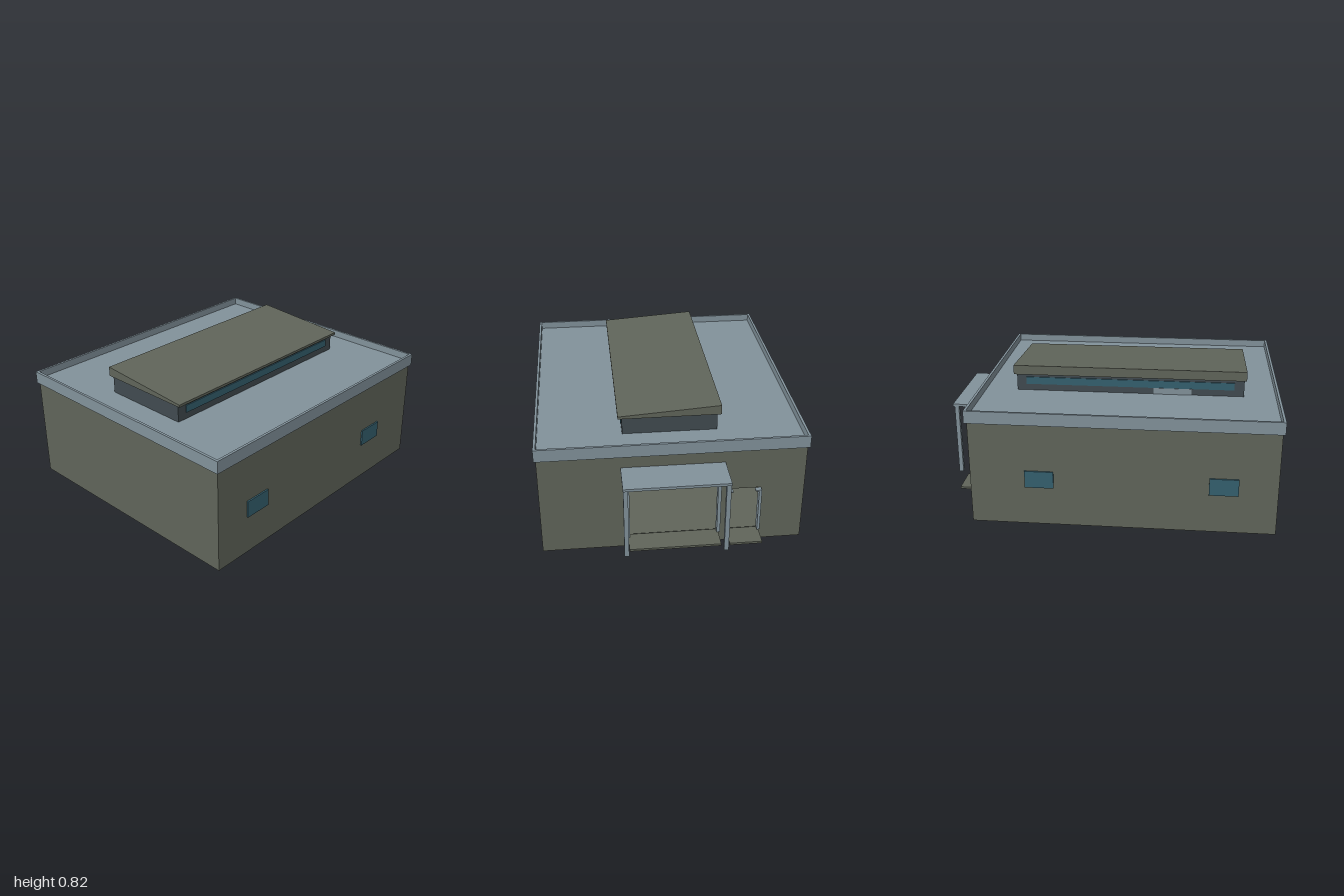
import * as THREE from 'three';

const mat = (name, color) => {
  const m = new THREE.MeshStandardMaterial({ color });
  m.name = name;
  return m;
};

export function createModel() {
  const olive = mat('olive wall', 0x60655a);
  const grey = mat('blue grey trim', 0x82929b);
  const slate = mat('dark slate', 0x414b50);
  const glass = mat('window blue', 0x35606f);
  const teal = mat('canopy teal', 0x26929a);
  const model = new THREE.Group();

  const add = (name, geometry, material) => {
    const mesh = new THREE.Mesh(geometry, material);
    mesh.name = name;
    model.add(mesh);
    return mesh;
  };
  // Box given by its limits on each axis
  const box = (name, material, x0, x1, y0, y1, z0, z1) => {
    const g = new THREE.BoxGeometry(x1 - x0, y1 - y0, z1 - z0);
    g.translate((x0 + x1) / 2, (y0 + y1) / 2, (z0 + z1) / 2);
    return add(name, g, material);
  };
  // Outline of [z, y] points, extruded along x
  const outline = (points, Type) => new Type(points.map(([z, y]) => new THREE.Vector2(-z, y)));
  const extrudeX = (name, material, shape, x0, x1) => {
    const g = new THREE.ExtrudeGeometry(shape, { depth: x1 - x0, bevelEnabled: false });
    g.rotateY(Math.PI / 2).translate(x0, 0, 0);
    return add(name, g, material);
  };
  const rect = (z0, z1, y0, y1) => [[z0, y0], [z1, y0], [z1, y1], [z0, y1]];

  // Hollow building: floor, three plain walls and an entrance wall with two openings
  const doors = [
    { name: 'main', z0: -0.255, z1: 0.255, top: 0.515, jamb: 0.02 },
    { name: 'side', z0: -0.495, z1: -0.325, top: 0.365, jamb: 0.016 },
  ];
  const t = 0.012;
  box('floor', olive, -0.988, 0.783, 0, 0.075, -0.766, 0.766);
  box('frontWall', olive, -0.988, 0.783, 0.075, 0.63, 0.766 - t, 0.766);
  box('backWall', olive, -0.988, 0.783, 0.075, 0.63, -0.766, -0.766 + t);
  box('leftEndWall', olive, -0.988, -0.988 + t, 0.075, 0.63, -0.766 + t, 0.766 - t);
  const wall = outline(rect(-0.766 + t, 0.766 - t, 0.075, 0.63), THREE.Shape);
  for (const d of doors) wall.holes.push(outline(rect(d.z0, d.z1, 0.085, d.top), THREE.Path));
  extrudeX('entranceWall', olive, wall, 0.783 - t, 0.783);

  // Flat roof with a raised rim
  box('roofDeck', grey, -0.99, 0.785, 0.626, 0.655, -0.768, 0.768);
  for (const s of [-1, 1]) {
    const a = s * 0.777, b = s * 0.762;
    box('parapetLong', grey, -1, 0.797, 0.625, 0.7, Math.min(a, b), Math.max(a, b));
  }
  box('parapetEnd', grey, -1, -0.985, 0.625, 0.7, -0.762, 0.762);
  box('parapetEnd', grey, 0.782, 0.797, 0.625, 0.7, -0.762, 0.762);

  // Small windows on the front and back walls
  for (const [x0, x1] of [[-0.765, -0.597], [0.294, 0.462]]) {
    box('frontWindow', glass, x0, x1, 0.237, 0.34, 0.766, 0.775);
    box('backWindow', glass, x0, x1, 0.237, 0.34, -0.775, -0.766);
  }

  // Roof lantern with window bands and a sloping lid
  box('lanternWalls', slate, -0.794, 0.588, 0.65, 0.762, -0.276, 0.276);
  box('lanternFrontWindow', glass, -0.735, 0.53, 0.695, 0.74, 0.276, 0.282);
  box('lanternBackWindow', glass, -0.735, 0.53, 0.695, 0.74, -0.282, -0.276);
  box('lanternBackPanel', grey, -0.48, -0.25, 0.655, 0.693, -0.279, -0.276);
  const lid = outline([[0.3, 0.76], [0.3, 0.775], [-0.297, 0.817], [-0.297, 0.76]], THREE.Shape);
  extrudeX('lanternRoof', olive, lid, -0.806, 0.604);

  // Door frames and steps
  for (const d of doors) {
    box(d.name + 'Jamb', grey, 0.775, 0.815, 0.085, d.top, d.z0 - d.jamb, d.z0);
    box(d.name + 'Jamb', grey, 0.775, 0.815, 0.085, d.top, d.z1, d.z1 + d.jamb);
    box(d.name + 'Hook', grey, 0.785, 0.815, d.top - 0.008, d.top, d.z0, d.z0 + 0.02);
    box(d.name + 'Hook', grey, 0.785, 0.815, d.top - 0.008, d.top, d.z1 - 0.02, d.z1);
    box(d.name + 'Step', olive, 0.783, 0.926, 0.07, 0.083, d.z0 - 0.01, d.z1 + 0.01);
  }

  // Entrance canopy on two posts
  box('canopyRoof', grey, 0.783, 1, 0.534, 0.55, -0.297, 0.3);
  box('canopySoffit', teal, 0.783, 0.965, 0.526, 0.534, -0.272, 0.272);
  box('canopyPost', grey, 0.964, 0.99, 0.087, 0.534, 0.272, 0.298);
  box('canopyPost', grey, 0.964, 0.99, 0.087, 0.534, -0.296, -0.27);

  return model;
}
